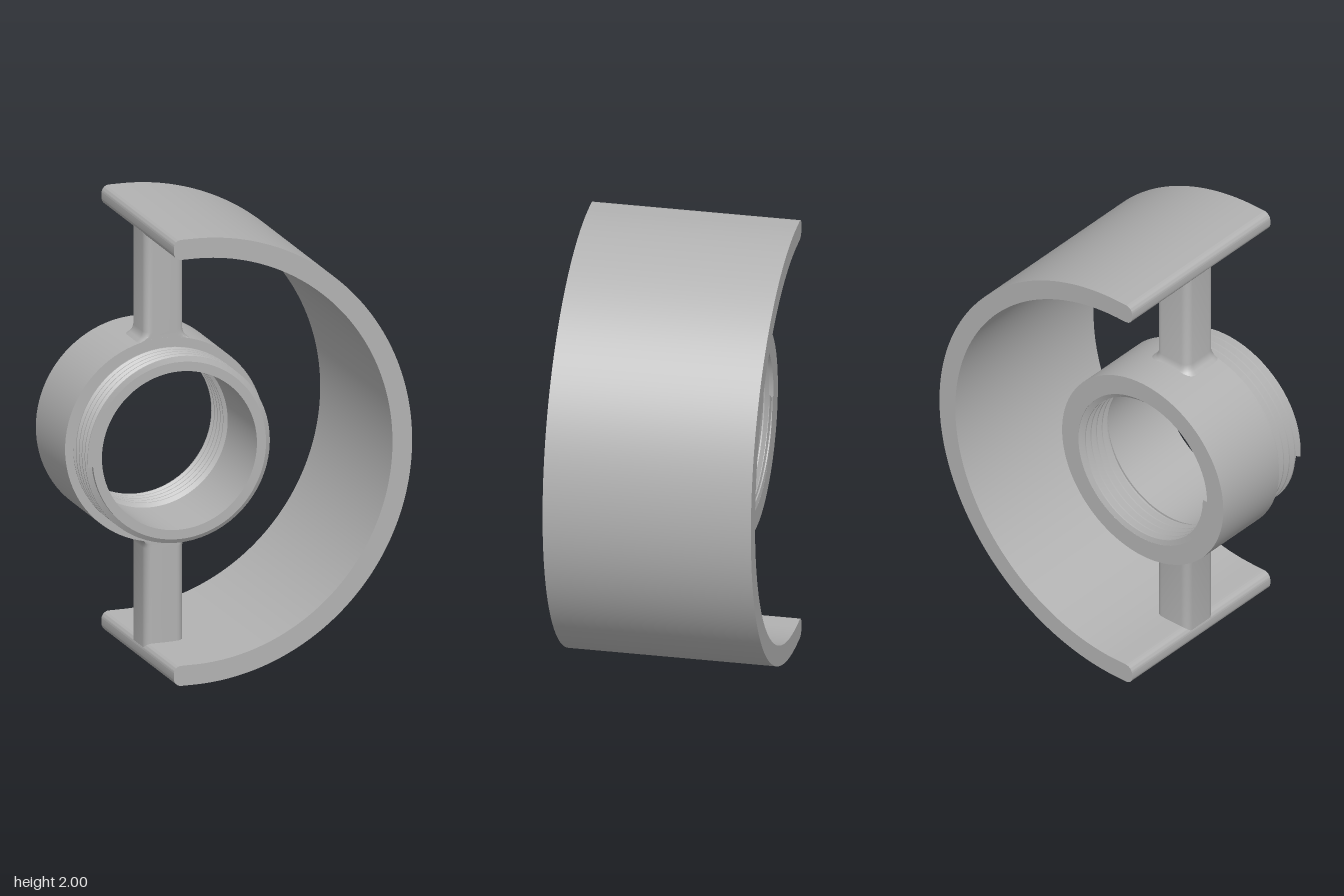
import * as THREE from 'three';
import { toCreasedNormals } from 'three/addons/utils/BufferGeometryUtils.js';

const CX = -0.273; // shared centre of collar and arch

// Smoothed grid of quads; rows is an array of equal-length arrays of [x, y, z]
function loft(rows, flip = false) {
  const pos = [], idx = [], n = rows[0].length;
  rows.forEach(row => row.forEach(p => pos.push(...p)));
  for (let i = 0; i < rows.length - 1; i++) {
    for (let j = 0; j < n - 1; j++) {
      const a = i * n + j, b = a + n, c = b + 1, d = a + 1;
      idx.push(...(flip ? [a, d, b, b, d, c] : [a, b, d, b, c, d]));
    }
  }
  const g = new THREE.BufferGeometry();
  g.setAttribute('position', new THREE.Float32BufferAttribute(pos, 3));
  g.setIndex(idx);
  g.computeVertexNormals();
  return g;
}

// Helical V-shaped ridge around z, trimmed to z0..z1
function threadGeometry(root, crest, z0, z1, pitch) {
  const rows = [], seg = 72, steps = Math.ceil(((z1 - z0) / pitch) * seg);
  for (let i = 0; i <= steps; i++) {
    const a = Math.PI + (i / seg) * Math.PI * 2;
    const zc = z0 + (i / seg) * pitch;
    rows.push([[root, -0.48], [crest, -0.08], [crest, 0.08], [root, 0.48]].map(([r, k]) => [
      r * Math.cos(a), r * Math.sin(a), THREE.MathUtils.clamp(zc + k * pitch, z0, z1),
    ]));
  }
  return toCreasedNormals(loft(rows, crest < root), 0.5);
}

// Half-round band with short straight lips and rounded ends
function archGeometry() {
  const R = 1, r = 0.91, end = -0.365 - CX, c = 0.035;
  const s = new THREE.Shape();
  s.absarc(0, 0, R, -Math.PI / 2, Math.PI / 2, false);
  s.lineTo(end + c, R);
  s.absarc(end + c, R - c, c, Math.PI / 2, Math.PI, false);
  s.absarc(end + c, r + c, c, Math.PI, Math.PI * 1.5, false);
  s.lineTo(0, r);
  s.absarc(0, 0, r, Math.PI / 2, -Math.PI / 2, true);
  s.lineTo(end + c, -r);
  s.absarc(end + c, -r - c, c, Math.PI / 2, Math.PI, false);
  s.absarc(end + c, -R + c, c, Math.PI, Math.PI * 1.5, false);
  const g = new THREE.ExtrudeGeometry(s, { depth: 0.916, bevelEnabled: false, curveSegments: 64 });
  g.translate(0, 0, -0.458);
  return toCreasedNormals(g, 0.5);
}

// Rounded-square post flaring into the collar, never past the collar's front
function postGeometry() {
  const profile = [[0.42, 0.135], [0.443, 0.118], [0.453, 0.104], [0.465, 0.095], [0.485, 0.09], [0.93, 0.09]];
  const rows = profile.map(([y, w]) => {
    const row = [], c = 0.035 + (w - 0.09) * 0.8;
    for (let q = 0; q < 4; q++) {
      const mid = (q + 0.5) * Math.PI / 2;
      for (let k = 0; k <= 6; k++) {
        const a = (q + k / 6) * Math.PI / 2;
        const x = Math.sign(Math.cos(mid)) * (w - c) + c * Math.cos(a);
        const z = Math.sign(Math.sin(mid)) * (w - c) + c * Math.sin(a);
        row.push([x, y, Math.min(z, 0.0895)]);
      }
    }
    row.push(row[0]);
    return row;
  });
  return toCreasedNormals(loft(rows), 0.7);
}

export function createModel() {
  const grey = new THREE.MeshStandardMaterial({ color: 0xb2b2b2 });
  grey.name = 'plain grey';
  const model = new THREE.Group();
  model.name = 'threadedCollarBracket';
  const add = (name, geometry) => {
    const m = new THREE.Mesh(geometry, grey);
    m.name = name;
    m.position.set(CX, 1, 0);
    model.add(m);
    return m;
  };

  add('arch', archGeometry());

  // Collar: wide ring at the back, narrow neck at the front, stepped bore
  const profile = [
    [0.457, -0.28], [0.457, 0.09], [0.397, 0.09], [0.397, 0.275],
    [0.355, 0.275], [0.355, -0.095], [0.365, -0.095], [0.365, -0.28], [0.457, -0.28],
  ].map(([r, z]) => new THREE.Vector2(r, z));
  const collar = new THREE.LatheGeometry(profile, 96);
  collar.rotateX(Math.PI / 2);
  add('collar', toCreasedNormals(collar, 0.5));

  // Outer thread on the neck, inner thread at the back of the bore
  add('outerThread', threadGeometry(0.396, 0.42, 0.09, 0.275, 0.037));
  add('innerThread', threadGeometry(0.366, 0.341, -0.28, -0.095, 0.037));

  // Posts joining collar and arch
  const post = postGeometry();
  add('upperPost', post);
  add('lowerPost', post).rotation.z = Math.PI;

  return model;
}
